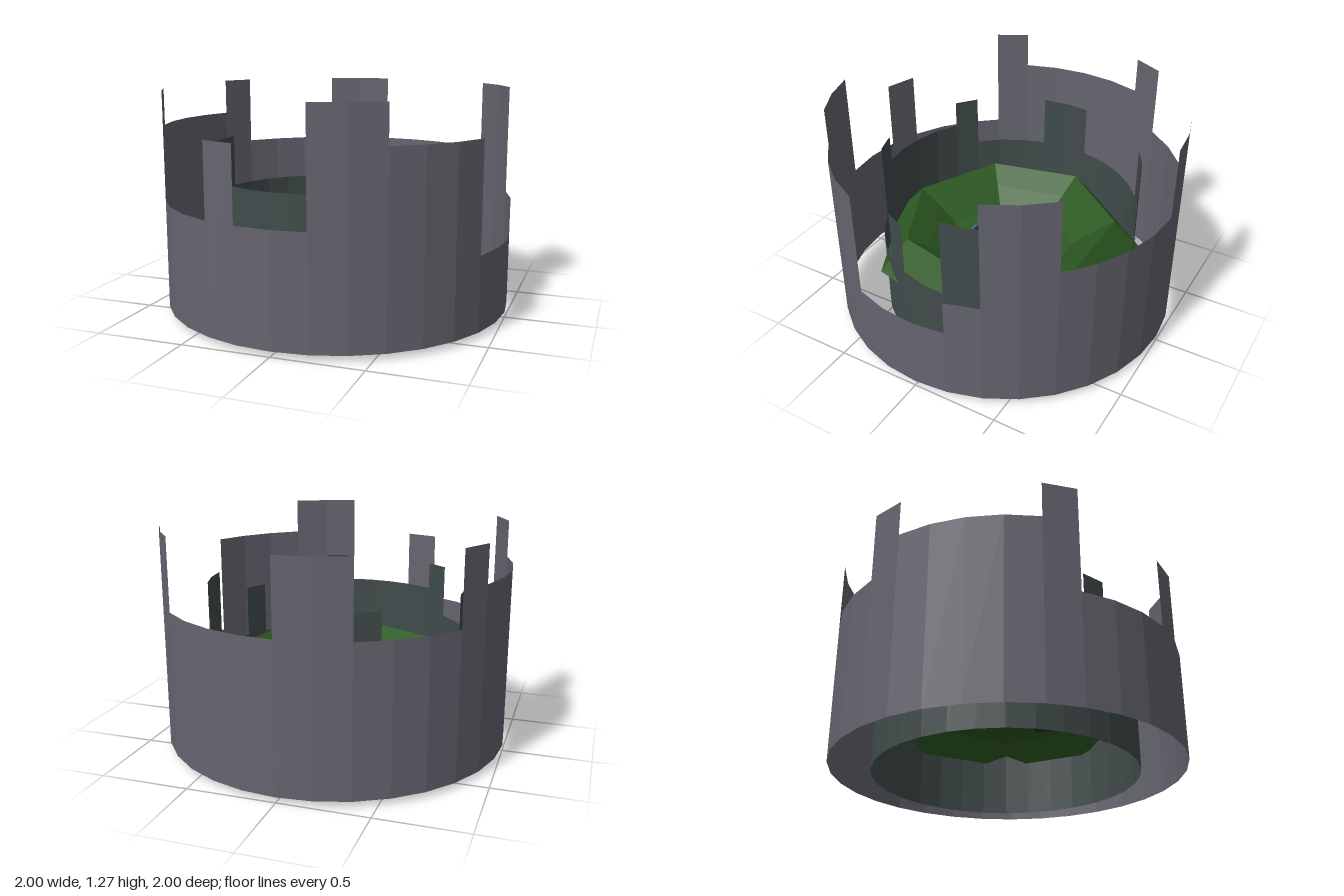
import * as THREE from 'three';
import { mergeGeometries } from 'three/addons/utils/BufferGeometryUtils.js';

const mat = (color) => new THREE.MeshStandardMaterial({ color, flatShading: true, side: THREE.DoubleSide });
const STONE = mat(0x666570), DARK = mat(0x414b4b), GRASS = mat(0x2d5a23), PAVING = mat(0x2a2438);
const BLUE = mat(0x6688cc), PALE = mat(0xb8b8b8), RED = mat(0xb5372c), LEAF = mat(0x8fc322), WOOD = mat(0x5a3d28);

function add(parent, name, geometry, material, x = 0, y = 0, z = 0) {
  const mesh = new THREE.Mesh(geometry, material);
  mesh.name = name;
  mesh.position.set(x, y, z);
  parent.add(mesh);
  return mesh;
}

// Thin ruined ring: runs of [panel count, top height], counted from +z towards +x
function ruinedWall(radius, bottom, runs, turn = 0) {
  const step = Math.PI / 16, parts = [];
  let i = 0;
  for (const [count, top] of runs) {
    const h = top - bottom;
    const g = new THREE.CylinderGeometry(radius, radius, h, count, 1, true, i * step + turn, count * step);
    parts.push(g.translate(0, bottom + h / 2, 0));
    i += count;
  }
  return mergeGeometries(parts);
}

// Small plant: short trunk with a crown of drooping leaves
function plant(x, z, height, spread, leaves) {
  const g = new THREE.Group();
  g.name = 'plant';
  g.position.set(x, 0.37, z);
  add(g, 'trunk', new THREE.CylinderGeometry(0.005, 0.007, height, 5), WOOD, 0, height / 2, 0);
  for (let i = 0; i < leaves; i++) {
    const pivot = new THREE.Group();
    pivot.rotation.y = (i / leaves) * Math.PI * 2 + x * 9;
    pivot.position.y = height;
    const leaf = add(pivot, 'leaf', new THREE.ConeGeometry(spread * 0.2, spread, 4), LEAF, spread / 2, spread * 0.1, 0);
    leaf.rotation.z = -1.3;
    leaf.scale.z = 0.7;
    g.add(pivot);
  }
  return g;
}

export function createModel() {
  const model = new THREE.Group();
  model.name = 'ruinedArena';

  // Outer and inner broken walls
  add(model, 'outerWall', ruinedWall(1, 0.03, [
    [1, 0.65], [2, 1.27], [3, 1.06], [3, 0.45], [1, 0.65], [2, 1.27], [4, 0.86], [2, 1.27],
    [3, 0.86], [1, 1.27], [4, 1.06], [1, 1.27], [3, 0.65], [1, 1.06], [1, 0.65],
  ]), STONE);
  add(model, 'innerWall', ruinedWall(0.75, 0, [
    [1, 0.78], [1, 0.94], [3, 0.47], [1, 0.78], [2, 0.47], [2, 0.94], [1, 0.78], [6, 0.47],
    [2, 0.94], [4, 0.63], [2, 0.94], [3, 0.63], [1, 0.94], [3, 0.78],
  ], 0.021), DARK, -0.01, 0, -0.01);

  // Seven-sided crater
  const profile = [[0, 0.34], [0.385, 0.34], [0.5, 0.43], [0.63, 0.52], [0.8, 0.33]];
  add(model, 'crater', new THREE.LatheGeometry(profile.map(([r, y]) => new THREE.Vector2(r, y)), 7),
    GRASS, -0.01, 0, -0.005);

  // Courtyard
  add(model, 'pavement', new THREE.BoxGeometry(0.475, 0.03, 0.475), PAVING, -0.02, 0.355, -0.008);
  add(model, 'kerb', new THREE.BoxGeometry(0.475, 0.012, 0.004), BLUE, -0.02, 0.375, 0.228);

  // Low rounded plinth
  const s = 0.072, c = 0.012;
  const corners = [[s - c, -s], [s, c - s], [s, s - c], [s - c, s], [c - s, s], [-s, s - c], [-s, c - s], [c - s, -s]];
  const plinth = new THREE.ExtrudeGeometry(
    new THREE.Shape(corners.map(([x, y]) => new THREE.Vector2(x, y))), { depth: 0.03, bevelEnabled: false });
  add(model, 'plinth', plinth.rotateX(-Math.PI / 2), PALE, -0.132, 0.37, 0.095);

  // Hut with a pointed roof turned by 45 degrees
  add(model, 'hut', new THREE.BoxGeometry(0.095, 0.07, 0.095), PALE, -0.192, 0.405, -0.193);
  add(model, 'hutRoof', new THREE.ConeGeometry(0.045, 0.05, 4), RED, -0.192, 0.465, -0.193);

  // Blue column
  add(model, 'column', new THREE.CylinderGeometry(0.028, 0.028, 0.23, 10), BLUE, 0.1, 0.485, 0.038);

  // Plants: x, z, trunk height, leaf length, leaf count
  const plants = [
    [-0.018, -0.01, 0.08, 0.035, 6], [0, 0.175, 0.1, 0.04, 7], [0.07, -0.195, 0.02, 0.018, 4],
    [0.17, -0.19, 0.02, 0.02, 4], [0.168, -0.095, 0.02, 0.018, 3], [0.17, 0.18, 0.03, 0.024, 5],
  ];
  for (const p of plants) model.add(plant(...p));

  return model;
}
